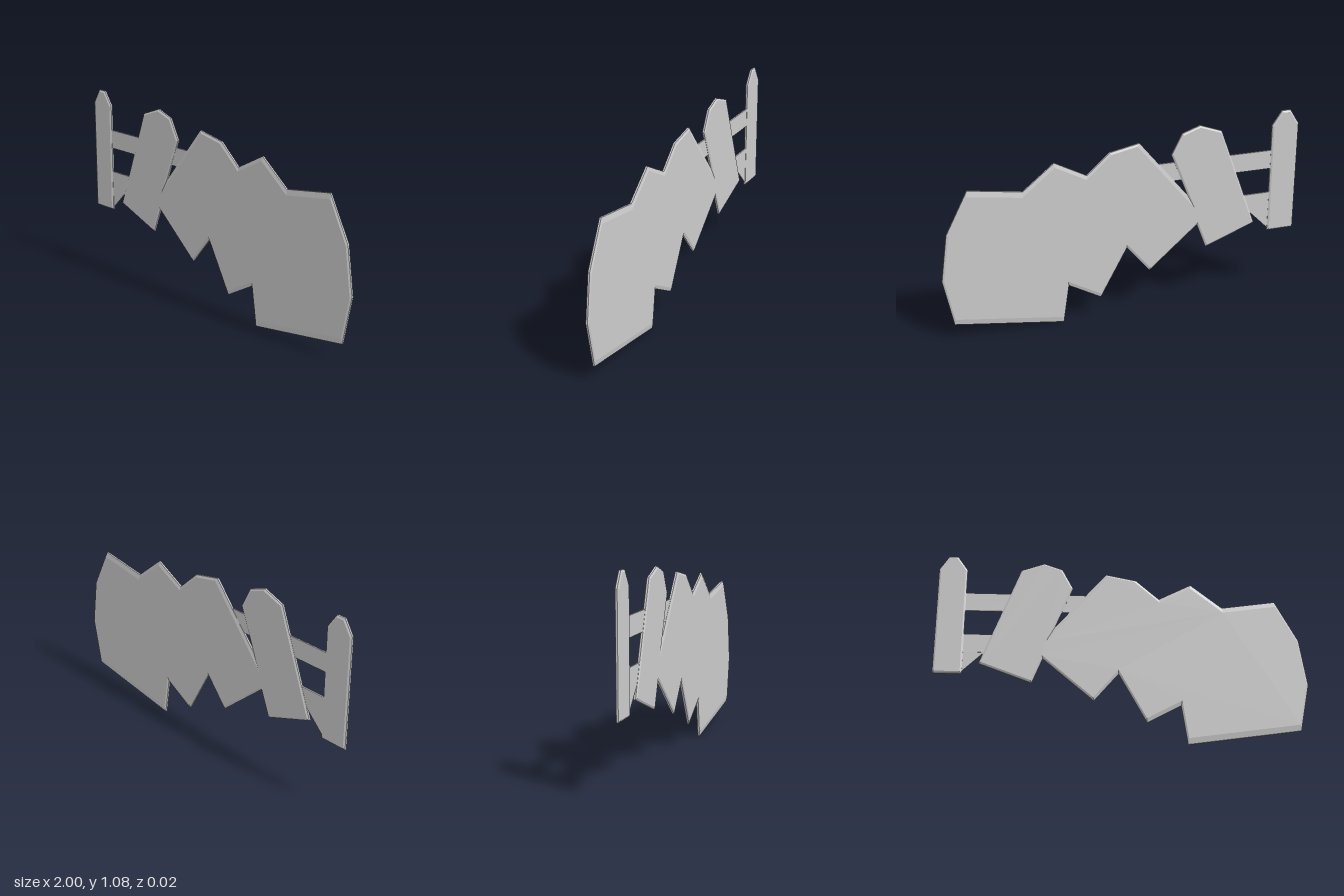
import * as THREE from 'three';

const HALF = 0.011; // half thickness of the boards
const RIM = 0.005;  // half thickness at the outer edge

// Move every edge of a counter-clockwise outline inwards by its own width
function inset(points, widths) {
  const n = points.length;
  const lines = points.map((p, i) => {
    const dir = points[(i + 1) % n].clone().sub(p).normalize();
    const start = p.clone().add(new THREE.Vector2(-dir.y, dir.x).multiplyScalar(widths[i]));
    return { start, dir };
  });
  return lines.map((b, i) => {
    const a = lines[(i + n - 1) % n];
    const t = b.start.clone().sub(a.start).cross(b.dir) / a.dir.cross(b.dir);
    return a.start.clone().addScaledVector(a.dir, t);
  });
}

// Flat board with bevelled front and back; each corner is [x, y, bevel of the edge that follows]
function board(name, corners, material) {
  const outer = corners.map(([x, y]) => new THREE.Vector2(x, y));
  const inner = inset(outer, corners.map((c) => c[2] ?? 0.01));
  const n = outer.length;
  const rings = [[inner, -HALF], [outer, -RIM], [outer, RIM], [inner, HALF]];
  const positions = [];
  const index = [];
  for (const [ring, z] of rings) for (const p of ring) positions.push(p.x, p.y, z);
  for (let r = 0; r < 3; r++) {
    for (let i = 0; i < n; i++) {
      const j = (i + 1) % n;
      const a = r * n + i, b = r * n + j, c = a + n, d = b + n;
      index.push(a, b, d, a, d, c);
    }
  }
  for (const [a, b, c] of THREE.ShapeUtils.triangulateShape(inner, [])) {
    index.push(3 * n + a, 3 * n + b, 3 * n + c, c, b, a);
  }
  const indexed = new THREE.BufferGeometry();
  indexed.setAttribute('position', new THREE.Float32BufferAttribute(positions, 3));
  indexed.setIndex(index);
  const geometry = indexed.toNonIndexed();
  geometry.computeVertexNormals();
  const mesh = new THREE.Mesh(geometry, material);
  mesh.name = name;
  return mesh;
}

export function createModel() {
  const group = new THREE.Group();
  group.name = 'brokenFence';
  const material = new THREE.MeshStandardMaterial({ color: 0xcccccc, flatShading: true });

  // Upright post with a clipped top
  group.add(board('post', [
    [-1, 0.38], [-0.845, 0.38], [-0.845, 1], [-0.9, 1.08], [-0.95, 1.08], [-1, 1],
  ], material));

  // Leaning pickets, fused into one jagged panel
  group.add(board('leaningPickets', [
    [-0.76, 0.44], [-0.475, 0.333], [-0.42, 0.475], [-0.145, 0.238, 0.014],
    [-0.015, 0.395], [0.135, 0.12, 0.02], [0.315, 0.22], [0.347, 0.003, 0.032],
    [0.945, 0.09], [0.997, 0.35], [0.96, 0.61], [0.84, 0.843, 0.03],
    [0.55, 0.80, 0.02], [0.38, 0.937, 0.02], [0.205, 0.845, 0.014], [0.08, 0.957, 0.012],
    [-0.085, 0.99, 0.02], [-0.36, 0.66], [-0.265, 0.90], [-0.325, 1.015],
    [-0.425, 1.05], [-0.55, 1.005],
  ], material));

  // Thin rails running behind the pickets
  for (const [name, y, x1] of [['upperRail', 0.805, -0.12], ['lowerRail', 0.558, -0.12]]) {
    const rail = new THREE.Mesh(new THREE.BoxGeometry(x1 + 0.9, 0.106, 0.008), material);
    rail.name = name;
    rail.position.set((x1 - 0.9) / 2, y, 0);
    group.add(rail);
  }

  // Small splinter between the post foot and the lower rail
  const splinter = new THREE.Shape([
    new THREE.Vector2(-0.86, 0.38), new THREE.Vector2(-0.73, 0.508), new THREE.Vector2(-0.86, 0.508),
  ]);
  const brace = new THREE.Mesh(
    new THREE.ExtrudeGeometry(splinter, { depth: 0.006, bevelEnabled: false }), material);
  brace.name = 'splinter';
  brace.position.z = -0.003;
  group.add(brace);

  return group;
}
